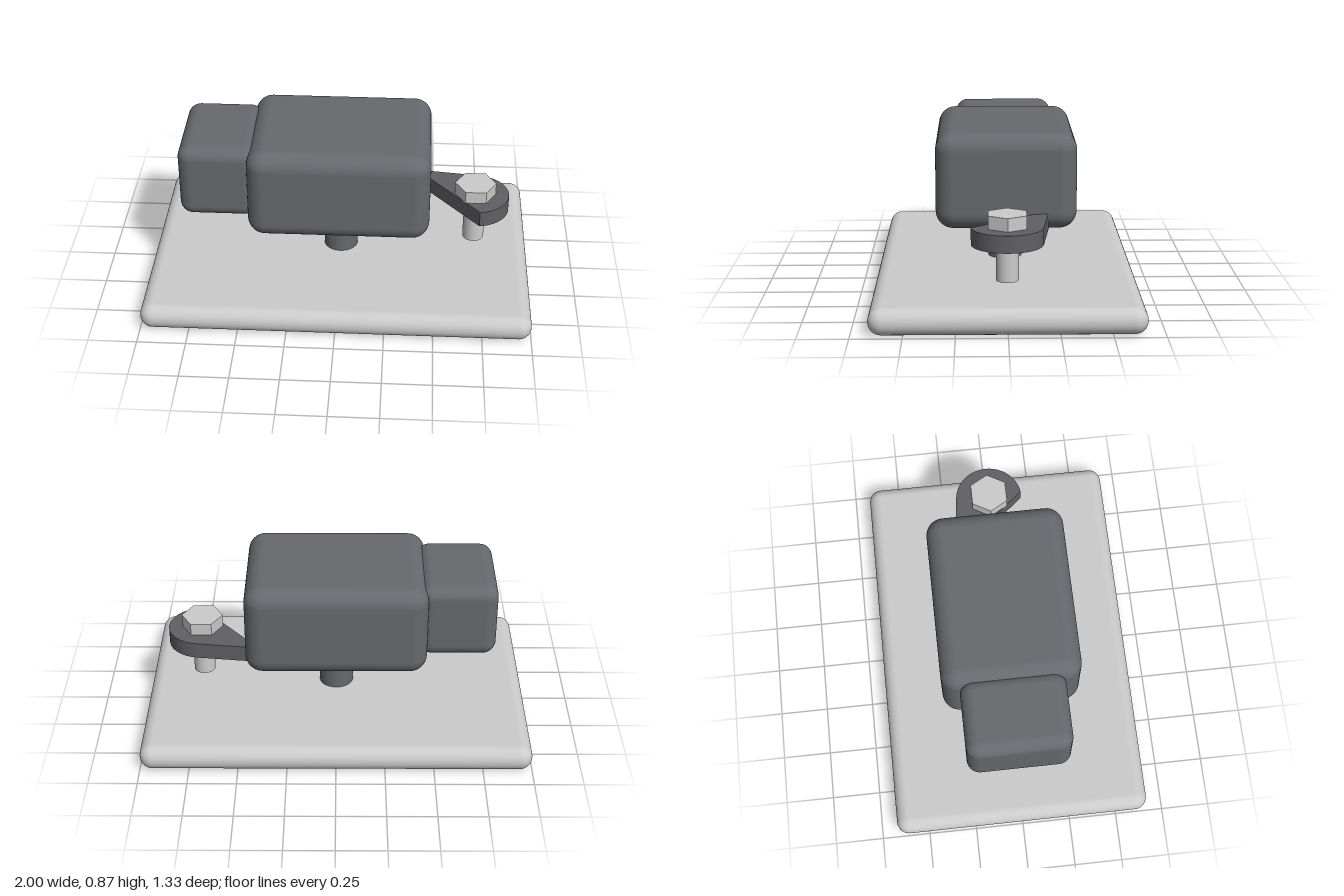
import * as THREE from 'three';
import { RoundedBoxGeometry } from 'three/addons/geometries/RoundedBoxGeometry.js';

export function createModel() {
  const group = new THREE.Group();
  const steel = new THREE.MeshStandardMaterial({ color: 0xcccccc });
  const plastic = new THREE.MeshStandardMaterial({ color: 0x66696d });
  const tabMaterial = new THREE.MeshStandardMaterial({ color: 0x606064 });
  const rubber = new THREE.MeshStandardMaterial({ color: 0x4a4a4c });

  const add = (name, geometry, material, x, y, z = 0, parent = group) => {
    const mesh = new THREE.Mesh(geometry, material);
    mesh.name = name;
    mesh.position.set(x, y, z);
    parent.add(mesh);
    return mesh;
  };

  // Rounded base plate
  add('basePlate', new RoundedBoxGeometry(2, 0.133, 1.333, 6, 0.065), steel, 0, 0.0665);

  // Sensor housing and the plug socket on its right end
  add('housing', new RoundedBoxGeometry(0.933, 0.489, 0.711, 6, 0.089), plastic, 0, 0.6225);
  add('connector', new RoundedBoxGeometry(0.4, 0.4, 0.533, 6, 0.067), plastic, -0.622, 0.645);

  // Probe stem with its sealing ring
  add('stem', new THREE.CylinderGeometry(0.089, 0.089, 0.32, 40), plastic, 0, 0.27);
  const ring = add('sealRing', new THREE.TorusGeometry(0.097, 0.022, 14, 48), rubber, 0, 0.29);
  ring.rotation.x = Math.PI / 2;

  // Tapered mounting tab with a round end tangent to its sides
  const tabX = 0.708, tabR = 0.178, lean = 0.12;
  const shape = new THREE.Shape();
  shape.moveTo(0.4, -0.216);
  shape.absarc(tabX, 0, tabR, -Math.PI / 2 + lean, Math.PI / 2 - lean, false);
  shape.lineTo(0.4, 0.216);
  shape.closePath();
  const tabGeometry = new THREE.ExtrudeGeometry(shape, { depth: 0.086, bevelEnabled: false, curveSegments: 28 });
  tabGeometry.rotateX(-Math.PI / 2);
  add('mountingTab', tabGeometry, tabMaterial, 0, 0.381);

  // Hex bolt through the tab
  const bolt = new THREE.Group();
  bolt.name = 'bolt';
  bolt.position.x = tabX;
  group.add(bolt);
  const headMaterial = steel.clone();
  headMaterial.flatShading = true;
  const head = add('boltHead', new THREE.CylinderGeometry(0.108, 0.108, 0.067, 6), headMaterial, 0, 0.5, 0, bolt);
  head.rotation.y = Math.PI / 2;
  add('boltShank', new THREE.CylinderGeometry(0.056, 0.056, 0.28, 32), steel, 0, 0.34, 0, bolt);

  return group;
}
